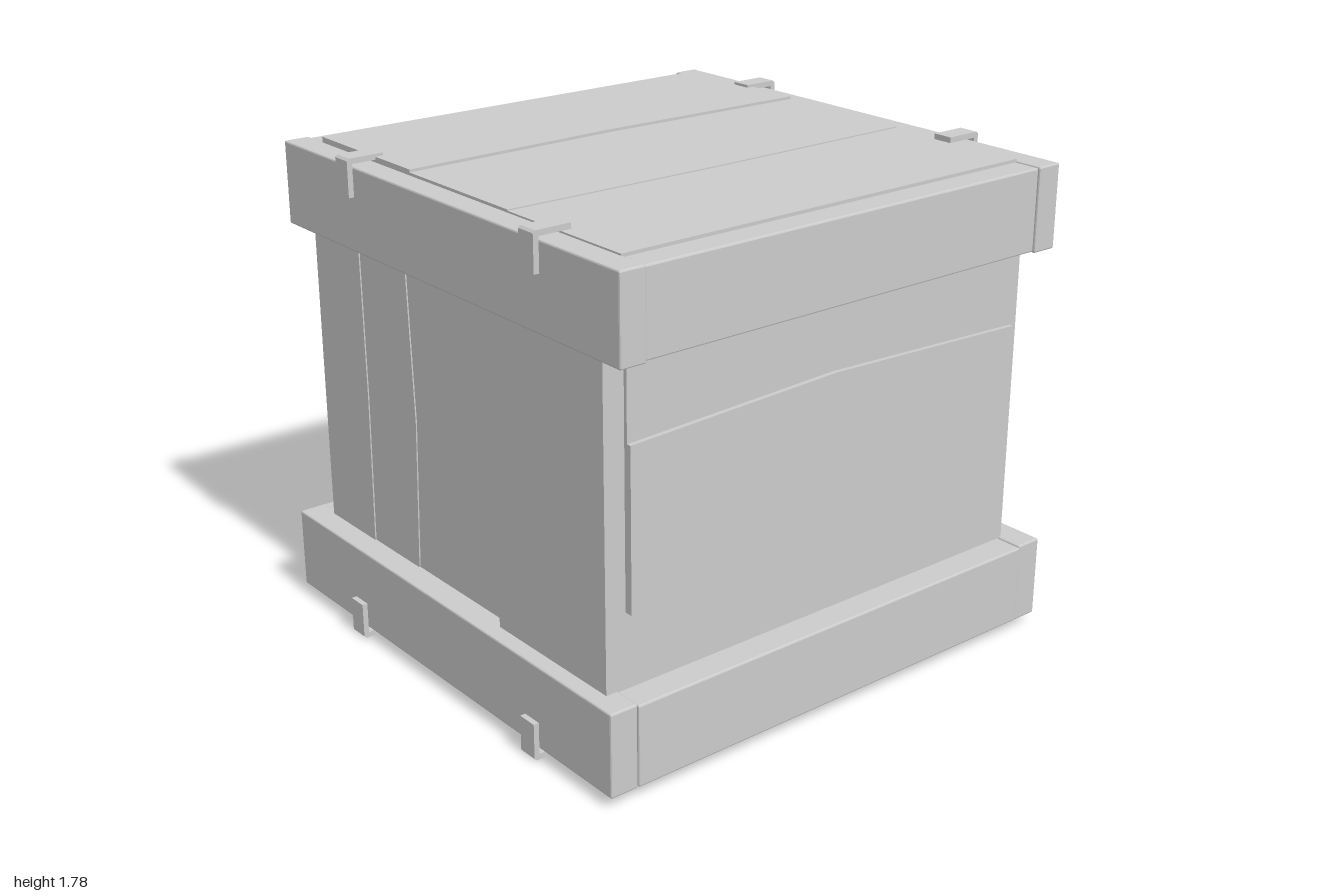
import * as THREE from 'three';
import { RoundedBoxGeometry } from 'three/addons/geometries/RoundedBoxGeometry.js';

const material = new THREE.MeshStandardMaterial({ color: 0xcccccc, flatShading: true, side: THREE.DoubleSide });
const X = new THREE.Vector3(1, 0, 0), Y = new THREE.Vector3(0, 1, 0), Z = new THREE.Vector3(0, 0, 1);
const neg = (v) => v.clone().negate();

// board with slightly eased edges, given by its minimum and maximum corners
function board(name, min, max) {
  const s = max.map((v, i) => v - min[i]);
  const mesh = new THREE.Mesh(new RoundedBoxGeometry(s[0], s[1], s[2], 1, 0.006), material);
  mesh.position.set(...max.map((v, i) => (v + min[i]) / 2));
  mesh.name = name;
  return mesh;
}

// plank whose two long edges bow gently: edge = [position, bow]
function plankGeometry(e0, e1, half, depth) {
  const shape = new THREE.Shape();
  const edge = ([p, bow]) => [-1, -0.5, 0, 0.5, 1].map((t) =>
    new THREE.Vector2(p + bow * (0.5 + 0.5 * Math.cos(Math.PI * t)), t * half));
  shape.setFromPoints([...edge(e0).reverse(), ...edge(e1)]);
  return new THREE.ExtrudeGeometry(shape, { depth, bevelEnabled: false });
}

// one wall of planks; across x along = outward
function wall(name, across, along, origin, half, edges, depths) {
  const group = new THREE.Group();
  group.name = name;
  depths.forEach((d, i) => {
    const mesh = new THREE.Mesh(plankGeometry(edges[i], edges[i + 1], half, d), material);
    mesh.name = name + 'Plank';
    group.add(mesh);
  });
  const outward = across.clone().cross(along);
  group.applyMatrix4(new THREE.Matrix4().makeBasis(across, along, outward).setPosition(...origin));
  return group;
}

// rectangular rim: long side boards with front and back boards between them
function rim(name, y0, y1, inner, outer, zEnd, zBoard) {
  const group = new THREE.Group();
  group.name = name;
  for (const s of [-1, 1]) {
    const xs = [s * inner, s * outer].sort((a, b) => a - b);
    const zs = [s * 0.843, s * zBoard].sort((a, b) => a - b);
    group.add(board('sideBoard', [xs[0], y0, -zEnd], [xs[1], y1, zEnd]));
    group.add(board('endBoard', [-inner, y0 + 0.004, zs[0]], [inner, y1 - 0.004, zs[1]]));
  }
  return group;
}

// angled metal clip wrapping an edge: corner at (x, y), up = vertical direction of the corner
function clip(x, y, up, z, side) {
  const t = 0.02, w = 0.075, b = 0.008, legX = 0.14, legY = 0.135;
  const p = [[0, b], [b, 0], [legX, 0], [legX, t], [t, t], [t, legY], [0, legY]];
  const shape = new THREE.Shape(p.map(([u, v]) => new THREE.Vector2(side * (x - u), y - up * v)));
  const geo = new THREE.ExtrudeGeometry(shape, { depth: w, bevelEnabled: false });
  const mesh = new THREE.Mesh(geo, material);
  mesh.position.z = z - w / 2;
  mesh.name = 'clip';
  return mesh;
}

export function createModel() {
  const crate = new THREE.Group();
  crate.name = 'crate';

  // solid core behind the planks
  crate.add(board('core', [-0.82, 0.045, -0.82], [0.82, 1.73, 0.82]));

  // horizontal planks on front and back
  const mid = 0.895, base = 0.78;
  crate.add(wall('front', Y, neg(X), [0, 0, base], 0.842,
    [[0.05, 0], [0.605, 0.015], [1.17, 0.03], [1.74, 0]], [0.07, 0.1, 0.083]));
  crate.add(wall('back', Y, X, [0, 0, -base], 0.842,
    [[0.05, 0], [0.605, 0], [0.95, 0.015], [1.15, 0.01], [1.74, 0]], [0.07, 0.104, 0.07, 0.086]));

  // vertical planks on the sides
  const sideEdges = [[-0.85, 0], [-0.56, 0.012], [-0.28, 0.035], [0.28, -0.022], [0.85, 0]];
  crate.add(wall('leftSide', Z, neg(Y), [base, mid, 0], 0.845, sideEdges, [0.15, 0.122, 0.155, 0.108]));
  crate.add(wall('rightSide', Z, Y, [-base, mid, 0], 0.845, sideEdges, [0.115, 0.11, 0.105, 0.14]));

  // lid and floor planks
  crate.add(wall('lid', Z, X, [0, 1.7, 0], 0.845,
    [[-0.846, 0], [-0.28, -0.02], [0.28, 0.01], [0.845, 0]], [0.07, 0.06, 0.056]));
  crate.add(wall('floor', X, Z, [0, 0.08, 0], 0.83,
    [[-0.845, 0], [-0.43, 0], [0, 0.01], [0.41, 0], [0.845, 0]], [0.073, 0.061, 0.065, 0.07]));

  // rims around top and bottom
  crate.add(rim('topRim', 1.45, 1.75, 0.838, 0.935, 0.955, 0.948));
  crate.add(rim('bottomRim', 0.04, 0.34, 0.875, 0.98, 0.95, 0.956));

  // clips on the side edges
  for (const side of [-1, 1]) for (const z of [-0.53, 0.53]) {
    crate.add(clip(0.955, 1.78, 1, z, side));
    crate.add(clip(1.0, 0, -1, z, side));
  }
  return crate;
}
